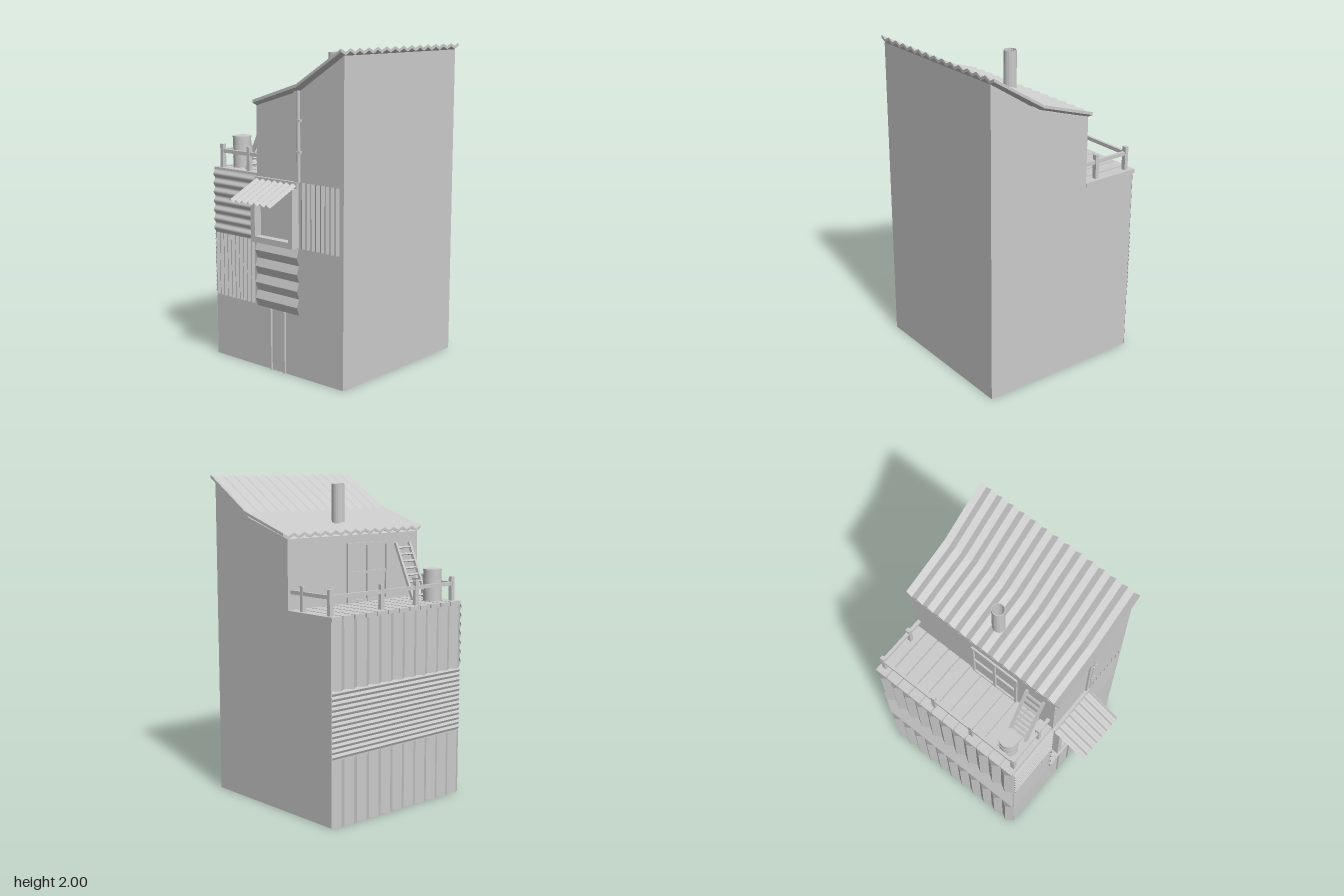
import * as THREE from 'three';

const material = new THREE.MeshStandardMaterial({ color: 0xcccccc, side: THREE.DoubleSide });
const flatMaterial = new THREE.MeshStandardMaterial({ color: 0xcccccc, side: THREE.DoubleSide, flatShading: true });

export function createModel() {
  const house = new THREE.Group();
  house.name = 'house';

  const add = (name, geometry, x = 0, y = 0, z = 0, mat = material, parent = house) => {
    const mesh = new THREE.Mesh(geometry, mat);
    mesh.name = name;
    mesh.position.set(x, y, z);
    parent.add(mesh);
    return mesh;
  };

  // Box given by its lower and upper limits
  const box = (name, x0, x1, y0, y1, z0, z1) =>
    add(name, new THREE.BoxGeometry(x1 - x0, y1 - y0, z1 - z0),
      (x0 + x1) / 2, (y0 + y1) / 2, (z0 + z1) / 2);

  // Sheet in the XY plane with ridges across x, rising from z = 0 to z = depth
  const ridged = (width, height, ridges, depth, round = false) => {
    const steps = round ? 8 : 2;
    const g = new THREE.PlaneGeometry(width, height, ridges * steps, 1);
    const p = g.attributes.position;
    for (let i = 0; i < p.count; i++) {
      const phase = (p.getX(i) / width + 0.5) * ridges;
      p.setZ(i, depth * (0.5 - 0.5 * Math.cos(phase * Math.PI * 2)));
    }
    g.computeVertexNormals();
    return g;
  };

  // Main body with a step for the deck and a two-pitch top
  const outline = new THREE.Shape([
    [-0.52, 0], [0.55, 0], [0.55, 1.96], [0.22, 1.75], [-0.145, 1.64], [-0.145, 1.2], [-0.52, 1.2],
  ].map(([x, y]) => new THREE.Vector2(x, y)));
  add('body', new THREE.ExtrudeGeometry(outline, { depth: 1.075, bevelEnabled: false }), 0, 0, -0.64);

  // Corrugated roof, bent where the pitch changes
  const ridges = 14;
  const roof = new THREE.BoxGeometry(0.697, 0.018, 1.14, 2, 1, ridges * 2);
  const rp = roof.attributes.position;
  for (let i = 0; i < rp.count; i++) {
    const col = Math.round((rp.getX(i) / 0.697 + 0.5) * 2);
    const row = Math.round((rp.getZ(i) / 1.14 + 0.5) * ridges * 2);
    rp.setX(i, [-0.147, 0.21, 0.552][col]);
    rp.setY(i, rp.getY(i) + [1.657, 1.769, 1.981][col] + (row % 2 ? -0.01 : 0.01));
  }
  add('roof', roof, 0, 0, -0.105, flatMaterial);

  // Hollow chimney pipe
  const ring = [[0.036, 0], [0.04, 0], [0.04, 0.275], [0.036, 0.275], [0.036, 0]];
  add('chimney', new THREE.LatheGeometry(ring.map(([r, y]) => new THREE.Vector2(r, y)), 16),
    0.0125, 1.67, -0.105, flatMaterial);

  // Deck planks
  for (let i = 0; i < 12; i++) {
    const z = -0.645 + i * 0.0896;
    box('deckPlank', -0.532, -0.145, 1.2, 1.226, z, z + (i < 11 ? 0.079 : 0.087));
  }

  // Deck railing
  const posts = [[-0.48, -0.61], [-0.48, -0.21], [-0.48, 0.08], [-0.48, 0.4], [-0.245, -0.61], [-0.245, 0.4]];
  for (const [x, z] of posts) box('railingPost', x - 0.012, x + 0.012, 1.22, 1.375, z - 0.014, z + 0.014);
  box('sideRail', -0.49, -0.472, 1.32, 1.343, -0.62, 0.41);
  for (const z of [-0.61, 0.4]) box('endRail', -0.495, -0.145, 1.32, 1.343, z - 0.01, z + 0.01);

  // Barrel with hoops
  const barrel = new THREE.Group();
  barrel.name = 'barrel';
  barrel.position.set(-0.405, 1.22, 0.305);
  house.add(barrel);
  add('barrelBody', new THREE.CylinderGeometry(0.057, 0.057, 0.2, 24), 0, 0.1, 0, material, barrel);
  for (const y of [0.005, 0.07, 0.137, 0.2]) {
    add('barrelHoop', new THREE.CylinderGeometry(0.06, 0.06, 0.01, 24), 0, y, 0, material, barrel);
  }

  // Ladder leaning on the upper wall
  const ladder = new THREE.Group();
  ladder.name = 'ladder';
  ladder.position.set(-0.23, 1.397, 0.297);
  ladder.rotation.z = -Math.atan2(0.16, 0.35);
  house.add(ladder);
  for (const z of [-0.06, 0.06]) {
    add('ladderRail', new THREE.BoxGeometry(0.018, 0.385, 0.018), 0, 0, z, material, ladder);
  }
  for (let i = 0; i < 8; i++) {
    add('ladderRung', new THREE.BoxGeometry(0.012, 0.012, 0.12), 0, -0.16 + i * 0.046, 0, material, ladder);
  }

  // Door from the upper room to the deck, with four panes
  for (const z of [-0.18, -0.017, 0.146]) box('doorUpright', -0.158, -0.14, 1.225, 1.59, z, z + 0.016);
  for (const y of [1.225, 1.4, 1.575]) box('doorCrossbar', -0.157, -0.14, y, y + 0.016, -0.18, 0.162);

  // Cladding of the deck-side wall: ridged, lapped, ridged
  for (const y of [0.2, 1.005]) {
    add('sideCladding', ridged(1.075, 0.4, 11, 0.03), -0.522, y, -0.1025, flatMaterial).rotation.y = -Math.PI / 2;
  }
  const laps = ridged(0.4, 1.075, 13, 0.008);
  laps.rotateZ(Math.PI / 2);
  add('sideSlats', laps, -0.522, 0.604, -0.1025, flatMaterial).rotation.y = -Math.PI / 2;

  // Cladding of the front wall
  const rounded = ridged(0.405, 0.375, 7, 0.014, true);
  rounded.rotateZ(Math.PI / 2);
  add('frontUpperCladding', rounded, -0.333, 1.012, 0.437);
  add('frontLowerCladding', ridged(0.35, 0.405, 10, 0.013), -0.345, 0.607, 0.437, flatMaterial);
  add('frontSideCladding', ridged(0.3, 0.4, 8, 0.013), 0.37, 1.01, 0.437, flatMaterial);
  const shutter = ridged(0.41, 0.35, 4, 0.018);
  shutter.rotateZ(Math.PI / 2);
  add('frontShutter', shutter, 0.027, 0.597, 0.437, flatMaterial);

  // Thin battens at the base
  for (const x of [-0.032, 0.083]) box('baseBatten', x - 0.006, x + 0.006, 0, 0.39, 0.43, 0.447);

  // Front window: deep frame with a recessed pane
  box('windowSill', -0.147, 0.2, 0.81, 0.847, 0.43, 0.493);
  box('windowHead', -0.147, 0.2, 1.17, 1.21, 0.43, 0.455);
  for (const x of [-0.147, 0.165]) box('windowJamb', x, x + 0.035, 0.847, 1.17, 0.43, 0.493);
  box('windowPane', -0.112, 0.165, 0.847, 1.17, 0.43, 0.44);

  // Corrugated awning
  const awning = add('awning', ridged(0.347, 0.245, 7, 0.018, true), 0.0265, 1.137, 0.566);
  awning.rotation.x = -Math.PI / 2 + Math.atan2(0.1, 0.22);

  // Corner batten and drainpipe with brackets
  box('cornerBatten', 0.175, 0.2, 1.21, 1.745, 0.43, 0.447);
  add('drainpipe', new THREE.CylinderGeometry(0.011, 0.011, 0.54, 10), 0.211, 1.48, 0.446);
  for (const y of [1.39, 1.575]) box('pipeBracket', 0.195, 0.23, y - 0.006, y + 0.006, 0.43, 0.458);

  return house;
}
